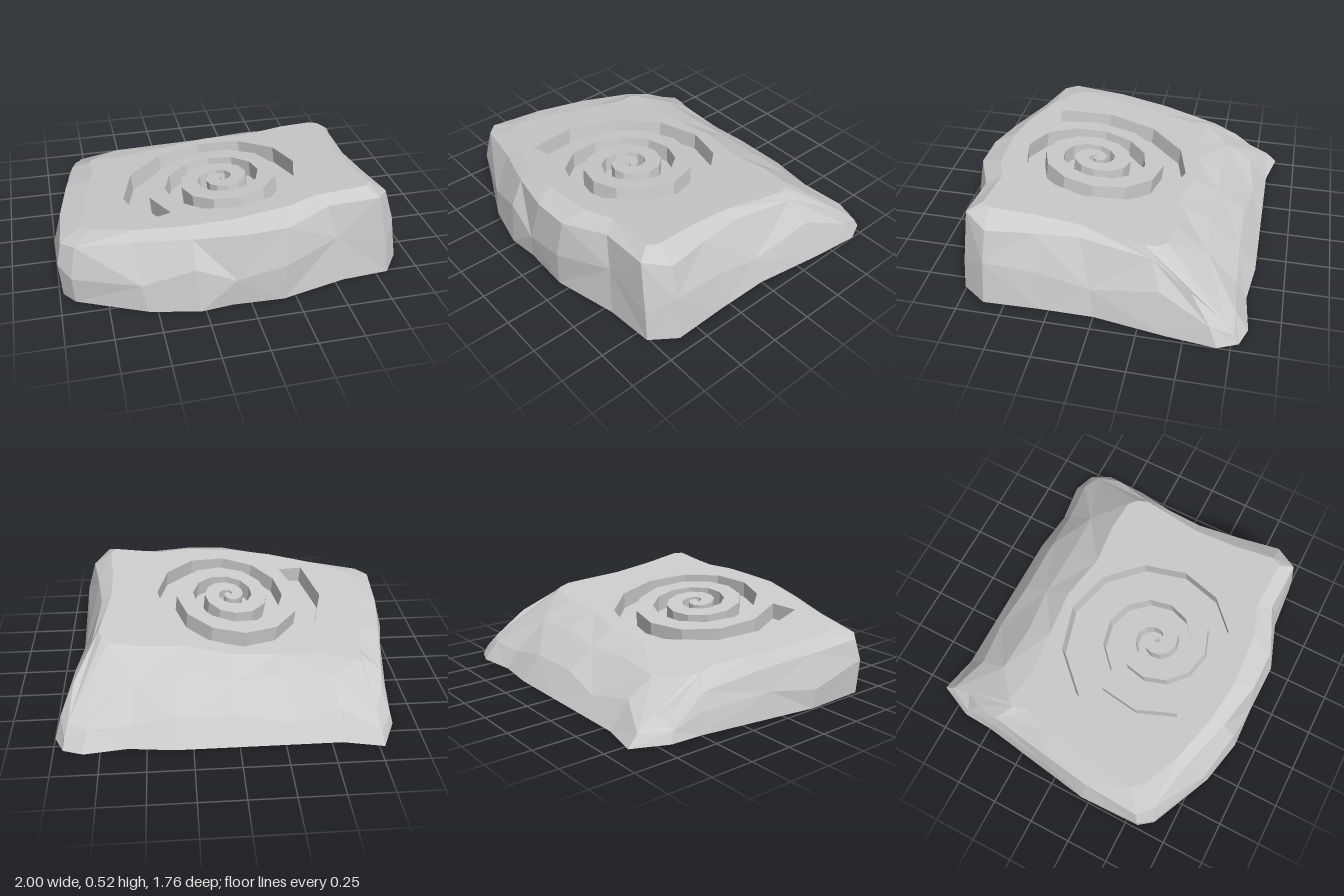
import * as THREE from 'three';

// Tilted plane of the carved top face
const planeY = (x, z) => 0.38 + 0.095 * x + 0.11 * z;
const normal = new THREE.Vector3(-0.095, 1, -0.11).normalize();

// Rock outline rings, clockwise seen from above, starting at the back corner
const BASE = [ // x, z on the ground
  -0.78, -0.88, -0.56, -0.83, -0.28, -0.83, 0, -0.83, 0.35, -0.83,
  0.6, -0.8, 0.84, -0.83, 0.95, -0.79, 1, -0.68, 0.97, -0.4,
  0.91, 0, 0.91, 0.3, 0.92, 0.62, 0.82, 0.76, 0.55, 0.78,
  0.18, 0.87, -0.1, 0.86, -0.28, 0.88, -0.55, 0.82, -0.92, 0.65,
  -0.98, 0.57, -0.99, 0.2, -0.95, -0.05, -0.88, -0.5, -0.87, -0.68,
];
const SHOULDER = [ // x, z, y where the sides turn into the top
  -0.76, -0.7, 0.12, -0.55, -0.56, 0.24, -0.27, -0.54, 0.26, 0, -0.57, 0.25, 0.3, -0.55, 0.28,
  0.56, -0.56, 0.27, 0.8, -0.66, 0.17, 0.92, -0.7, 0.12, 0.89, -0.52, 0.26, 0.8, -0.3, 0.37,
  0.76, 0.1, 0.42, 0.79, 0.35, 0.43, 0.83, 0.6, 0.44, 0.74, 0.73, 0.48, 0.45, 0.72, 0.46,
  0.2, 0.83, 0.43, -0.02, 0.83, 0.42, -0.3, 0.77, 0.39, -0.6, 0.68, 0.36, -0.9, 0.62, 0.33,
  -0.97, 0.55, 0.32, -0.95, 0.22, 0.3, -0.9, -0.1, 0.27, -0.84, -0.45, 0.21, -0.81, -0.6, 0.16,
];
const RIM = [ // x, z on the tilted plane
  -0.72, -0.42, -0.52, -0.38, -0.25, -0.4, 0.02, -0.42, 0.28, -0.36,
  0.52, -0.38, 0.7, -0.36, 0.74, -0.32, 0.76, -0.25, 0.74, -0.12,
  0.7, 0.1, 0.7, 0.36, 0.72, 0.6, 0.69, 0.65, 0.4, 0.64,
  0.24, 0.7, -0.08, 0.72, -0.32, 0.69, -0.58, 0.62, -0.8, 0.52,
  -0.85, 0.46, -0.82, 0.2, -0.76, -0.1, -0.72, -0.28, -0.74, -0.38,
];

function points(list, step, height) {
  const out = [];
  for (let i = 0; i < list.length; i += step) {
    const [x, z] = [list[i], list[i + 1]];
    out.push(new THREE.Vector3(x, step === 3 ? list[i + 2] : height(x, z), z));
  }
  return out;
}

// Flat-faced band between closed loops, with alternating diagonals
function strip(...loops) {
  const pos = [];
  const tri = (...p) => p.forEach((v) => pos.push(v.x, v.y, v.z));
  for (let l = 0; l + 1 < loops.length; l++) {
    const [low, up] = [loops[l], loops[l + 1]];
    for (let i = 0; i < low.length; i++) {
      const j = (i + 1) % low.length;
      if ((i + l) % 2) {
        tri(low[i], up[i], up[j]);
        tri(low[i], up[j], low[j]);
      } else {
        tri(low[i], up[i], low[j]);
        tri(up[i], up[j], low[j]);
      }
    }
  }
  const g = new THREE.BufferGeometry();
  g.setAttribute('position', new THREE.Float32BufferAttribute(pos, 3));
  g.computeVertexNormals();
  return g;
}

// Filled outline facing up, draped on a height rule
function cap(outline, hole, height) {
  const flat = (loop) => loop.map((p) => new THREE.Vector2(p.x, -p.z));
  const shape = new THREE.Shape(flat(outline));
  if (hole) shape.holes.push(new THREE.Path(flat(hole)));
  const g = new THREE.ShapeGeometry(shape).rotateX(-Math.PI / 2);
  const p = g.attributes.position;
  for (let i = 0; i < p.count; i++) p.setY(i, height(p.getX(i), p.getZ(i)));
  g.computeVertexNormals();
  return g;
}

// One edge of the spiral, shrinking towards the centre; k counts quarter turns
function spiral(radius, end, start, stop, steps) {
  const out = [];
  for (let i = 0; i <= steps; i++) {
    const k = start + ((stop - start) * i) / steps;
    const r = radius * Math.pow(1 - k / end, 1.5);
    const a = (k * Math.PI) / 2;
    const x = -0.02 - r * Math.cos(a);
    const z = 0.19 - 1.07 * r * Math.sin(a);
    out.push(new THREE.Vector3(x, planeY(x, z), z));
  }
  return out;
}

export function createModel() {
  const group = new THREE.Group();
  const material = new THREE.MeshStandardMaterial({ color: 0xcccccc, flatShading: true });
  const add = (name, geometry) => {
    const mesh = new THREE.Mesh(geometry, material);
    mesh.name = name;
    group.add(mesh);
  };

  // Rough sides: ground, bulging belly, shoulder, rim
  const base = points(BASE, 2, () => 0);
  const shoulder = points(SHOULDER, 3);
  const rim = points(RIM, 2, planeY);
  const belly = base.map((b, i) => {
    const t = 0.5 + 0.14 * Math.sin(i * 2.3);
    const p = b.clone().lerp(shoulder[i], t * 0.7);
    const bulge = b.z > 0 && b.x < 0.5 ? 1.02 : 1;
    return p.set(p.x * bulge, shoulder[i].y * t, p.z * bulge);
  });
  add('rockSides', strip(base, belly, shoulder, rim));
  add('rockUnderside', cap(base, null, () => 0).rotateX(Math.PI).scale(1, 1, -1));
  // Mirroring reverses the corners, so turn the underside faces downward again
  const under = group.getObjectByName('rockUnderside').geometry;
  const index = under.index.array;
  const p = under.attributes.position;
  const [a, b, c] = [0, 1, 2].map((n) => new THREE.Vector3().fromBufferAttribute(p, index[n]));
  if (b.sub(a).cross(c.sub(a)).y > 0) index.reverse();
  under.computeVertexNormals();

  // Spiral groove cut square to the tilted top
  const outer = spiral(0.57, 13, -0.37, 12, 37);
  const inner = spiral(0.43, 12, -0.45, 11.95, 37);
  const groove = [...outer, ...inner.reverse()];
  const floor = groove.map((v) => v.clone().addScaledVector(normal, -0.1));
  const drop = 0.1 / normal.y;
  add('topFace', cap(rim, groove, planeY));
  add('grooveWalls', strip(groove, floor));
  add('grooveFloor', cap(floor, null, (x, z) => planeY(x, z) - drop));

  return group;
}
